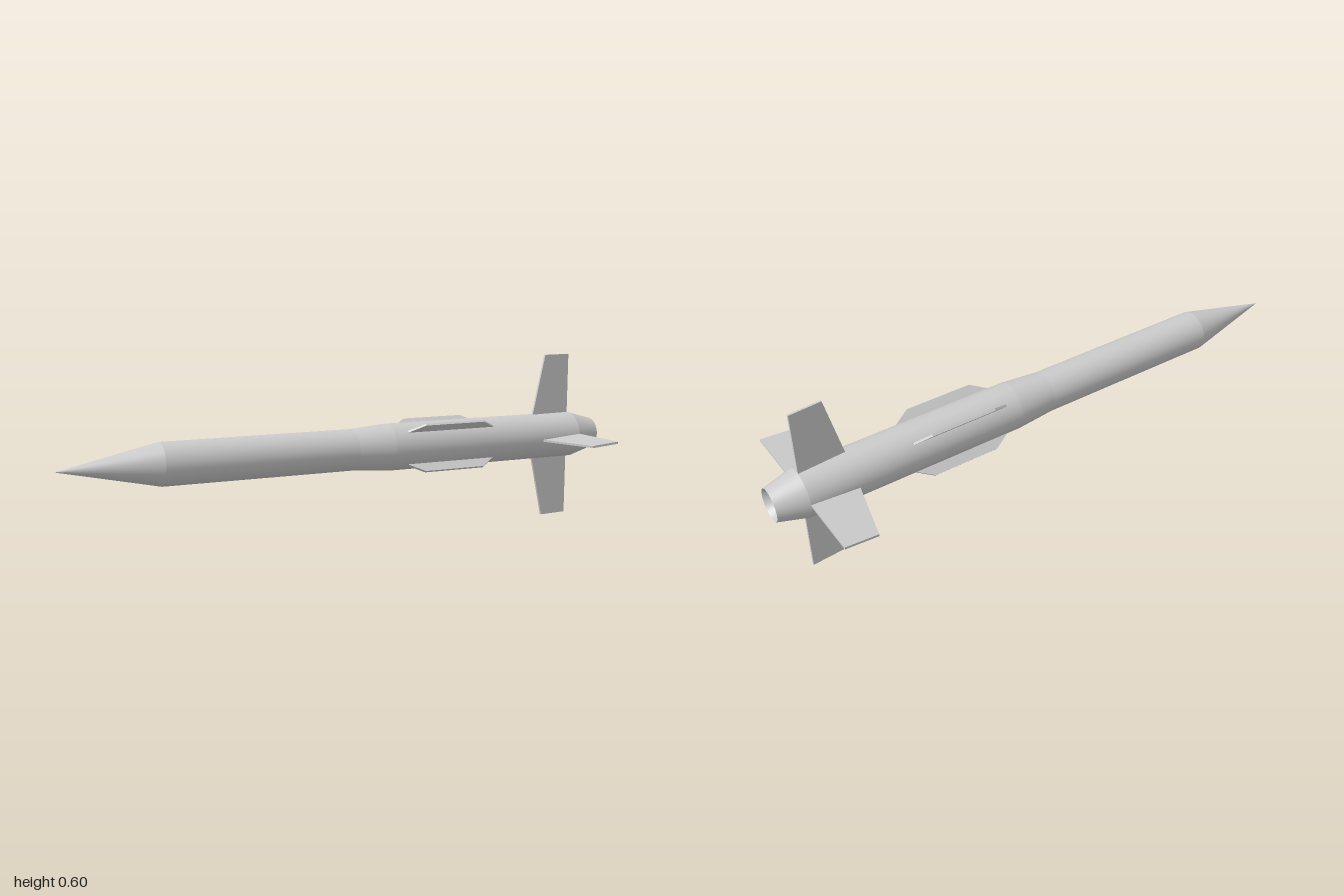
import * as THREE from 'three';

const AXIS_Y = 0.3; // height of the body axis

const hullGrey = new THREE.MeshStandardMaterial({ color: 0xcccccc });
hullGrey.name = 'hull grey';
const nozzleGrey = new THREE.MeshStandardMaterial({ color: 0xcccccc, side: THREE.DoubleSide });
nozzleGrey.name = 'nozzle grey';

// Open frustum along x from (x0, r0) to (x1, r1)
function section(name, x0, r0, x1, r1, material = hullGrey) {
  const geo = new THREE.CylinderGeometry(r1, r0, x1 - x0, 64, 1, true);
  geo.rotateZ(-Math.PI / 2).translate((x0 + x1) / 2, 0, 0);
  const mesh = new THREE.Mesh(geo, material);
  mesh.name = name;
  return mesh;
}

// Plate through the axis: half outline (x, radius) mirrored to both sides, lying in the xz plane
function finPair(name, half, thickness, pivotX, cant, roll) {
  const outline = [...half, ...half.map(([x, r]) => [x, -r]).reverse()];
  const shape = new THREE.Shape(outline.map(([x, r]) => new THREE.Vector2(x - pivotX, r)));
  const geo = new THREE.ExtrudeGeometry(shape, { depth: thickness, bevelEnabled: false });
  geo.translate(0, 0, -thickness / 2).rotateX(Math.PI / 2);
  geo.rotateZ(cant).translate(pivotX, 0, 0).rotateX(roll);
  const mesh = new THREE.Mesh(geo, hullGrey);
  mesh.name = name;
  return mesh;
}

export function createModel() {
  const model = new THREE.Group();
  model.name = 'missile';
  const body = new THREE.Group();
  body.name = 'body';
  body.position.y = AXIS_Y;
  model.add(body);

  // Hull, nose to tail
  body.add(
    section('noseCone', -1, 0, -0.67, 0.071),
    section('forwardBody', -0.67, 0.071, 0, 0.071),
    section('bodyFlare', 0, 0.071, 0.135, 0.082),
    section('aftBody', 0.135, 0.082, 0.9, 0.082),
    section('boatTail', 0.9, 0.082, 1, 0.055),
    // Recessed nozzle cone
    section('nozzle', 0.88, 0, 1, 0.055, nozzleGrey)
  );

  // Four diagonal strakes
  const strake = [[0.18, 0.078], [0.245, 0.116], [0.478, 0.116], [0.54, 0.078]];
  for (const side of [1, -1]) {
    body.add(finPair('strakePair', strake, 0.008, 0.36, 0, side * Math.PI / 4));
  }

  // Four slightly canted tail fins
  const fin = [[0.735, 0.07], [0.79, 0.3], [0.9, 0.3], [0.9, 0.07]];
  body.add(
    finPair('horizontalTailFins', fin, 0.0075, 0.82, 0.075, 0),
    finPair('verticalTailFins', fin, 0.0075, 0.82, 0.075, -Math.PI / 2)
  );

  return model;
}
